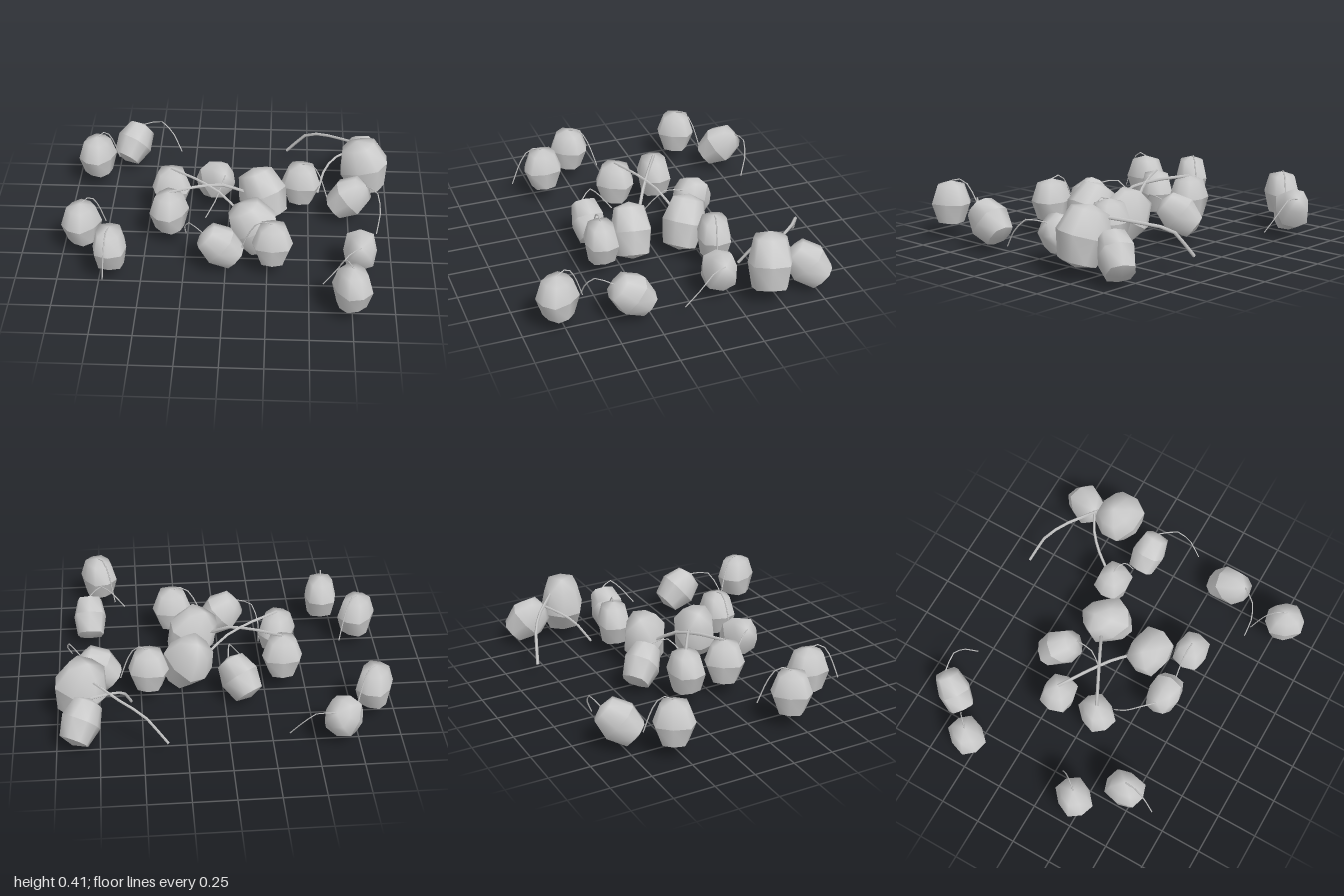
import * as THREE from 'three';
import { mergeVertices, mergeGeometries } from 'three/addons/utils/BufferGeometryUtils.js';

const material = new THREE.MeshStandardMaterial({ color: 0xcccccc });
const stemMaterial = new THREE.MeshStandardMaterial({ color: 0xcccccc, side: THREE.DoubleSide });

// Section of a fruit: an eight-sided lathe squared off at its corners, smooth within
// the section; flank keeps the narrow sides straighter away from the equator
function fruitSection(profile, flank) {
  let geo = new THREE.LatheGeometry(profile.map(([r, y]) => new THREE.Vector2(r, y)), 8);
  geo.deleteAttribute('uv');
  geo.deleteAttribute('normal');
  const p = geo.attributes.position;
  for (let i = 0; i < p.count; i++) {
    const x = p.getX(i), y = p.getY(i), z = p.getZ(i);
    const k = Math.abs(x * z) > 1e-4 ? 1.12 : 1;
    p.setXYZ(i, x * 0.1 * k * (1 + flank * Math.abs(y)), y, z * 0.122 * k);
  }
  geo = mergeVertices(geo, 1e-4);
  geo.computeVertexNormals();
  return geo;
}

// Base cap, lower body and crown meet in sharp edges
const fruitGeometry = mergeGeometries([
  fruitSection([[0, -0.14], [0.64, -0.117]], 2.3),
  fruitSection([[0.64, -0.117], [1, 0]], 2.3),
  fruitSection([[1, 0], [0.67, 0.113], [0, 0.138]], 1),
]);

// Fruit whose base swings by tilt towards the yaw direction; returns its crown point
function addFruit(group, x, y, z, yaw, tilt, scale) {
  const fruit = new THREE.Mesh(fruitGeometry, material);
  fruit.name = 'fruit';
  fruit.position.set(x, y, z);
  fruit.rotation.set(-tilt, yaw, 0, 'YXZ');
  fruit.scale.setScalar(scale);
  group.add(fruit);
  fruit.updateMatrix();
  return new THREE.Vector3(0, 0.136, 0).applyMatrix4(fruit.matrix);
}

// Bent stem: leaves the crown almost level, bows sideways, then drops to its free end
function addStem(group, from, to, radius, lift, bow) {
  const side = new THREE.Vector3(to.z - from.z, 0, from.x - to.x).multiplyScalar(bow);
  const shoulder = from.clone().lerp(to, 0.4).setY(from.y + lift).add(side);
  const bend = from.clone().lerp(to, 0.72).add(side);
  bend.y = from.y + 0.35 * (to.y - from.y);
  const curve = new THREE.CatmullRomCurve3([from, shoulder, bend, to], false, 'catmullrom', 0.3);
  const stem = new THREE.Mesh(new THREE.TubeGeometry(curve, 6, radius, 4), stemMaterial);
  stem.name = 'stem';
  group.add(stem);
}

// Rows: fruit x, z, yaw, then stem end x, z
const UPRIGHT = [
  [-0.865, -0.54, -0.55, -0.74, -0.67],
  [-0.875, 0.213, -0.65, -0.75, 0.06],
  [-0.68, 0.45, 0, -0.705, 0.65],
  [0.28, 0.375, 1.57, 0.08, 0.37],
  [0.45, -0.275, 1.42, 0.62, -0.23],
  [0.74, 0.785, 0.5, 0.64, 0.61],
];
const LONG_STEMMED = [
  [-0.36, -0.195, 1.57, 0.08, 0.07],
  [-0.355, 0.07, -0.6, 0.1, -0.16],
];
const TILTED = [
  [-0.65, -0.772, -0.6, -0.34, -0.8],
  [-0.088, -0.347, 3.77, -0.14, -0.04],
  [-0.03, 0.358, 1.57, -0.25, 0.13],
  [0.75, -0.185, -1.65, 0.915, 0.09],
  [0.8, 0.368, 3.14, 0.58, 0.6],
];

export function createModel() {
  const model = new THREE.Group();
  model.name = 'scatteredFruits';

  // Fruits with their stems
  const addRows = (rows, y, tilt, endY, radius, lift, bow) => {
    for (const [x, z, yaw, endX, endZ] of rows) {
      const crown = addFruit(model, x, y, z, yaw, tilt, 1);
      addStem(model, crown, new THREE.Vector3(endX, endY, endZ), radius, lift, bow);
    }
  };
  addRows(UPRIGHT, 0.213, 0, 0.12, 0.004, 0.012, 0);
  addRows(LONG_STEMMED, 0.213, 0, 0.21, 0.01, -0.012, 0);
  addRows(TILTED, 0.173, 0.87, 0.09, 0.004, 0.018, 0.15);

  // Tilted fruit with a thick stem
  const crown = addFruit(model, 0.85, 0.167, -0.7, 2.6, 0.85, 1.03);
  addStem(model, crown, new THREE.Vector3(0.56, 0.06, -0.39), 0.009, -0.02, -0.1);

  // Large fruits
  addFruit(model, 0.165, 0.173, 0.148, 1.4, 0.5, 1.25);
  addFruit(model, 0.21, 0.19, -0.18, 0.8, 0.5, 1.25);
  addFruit(model, 0.85, 0.235, -0.457, 1.25, 0.3, 1.3);

  // Thick stem reaching out from the large fruit at the side
  addStem(model, new THREE.Vector3(0.77, 0.34, -0.57), new THREE.Vector3(0.36, 0.09, -0.84), 0.01, -0.04, -0.06);
  return model;
}
